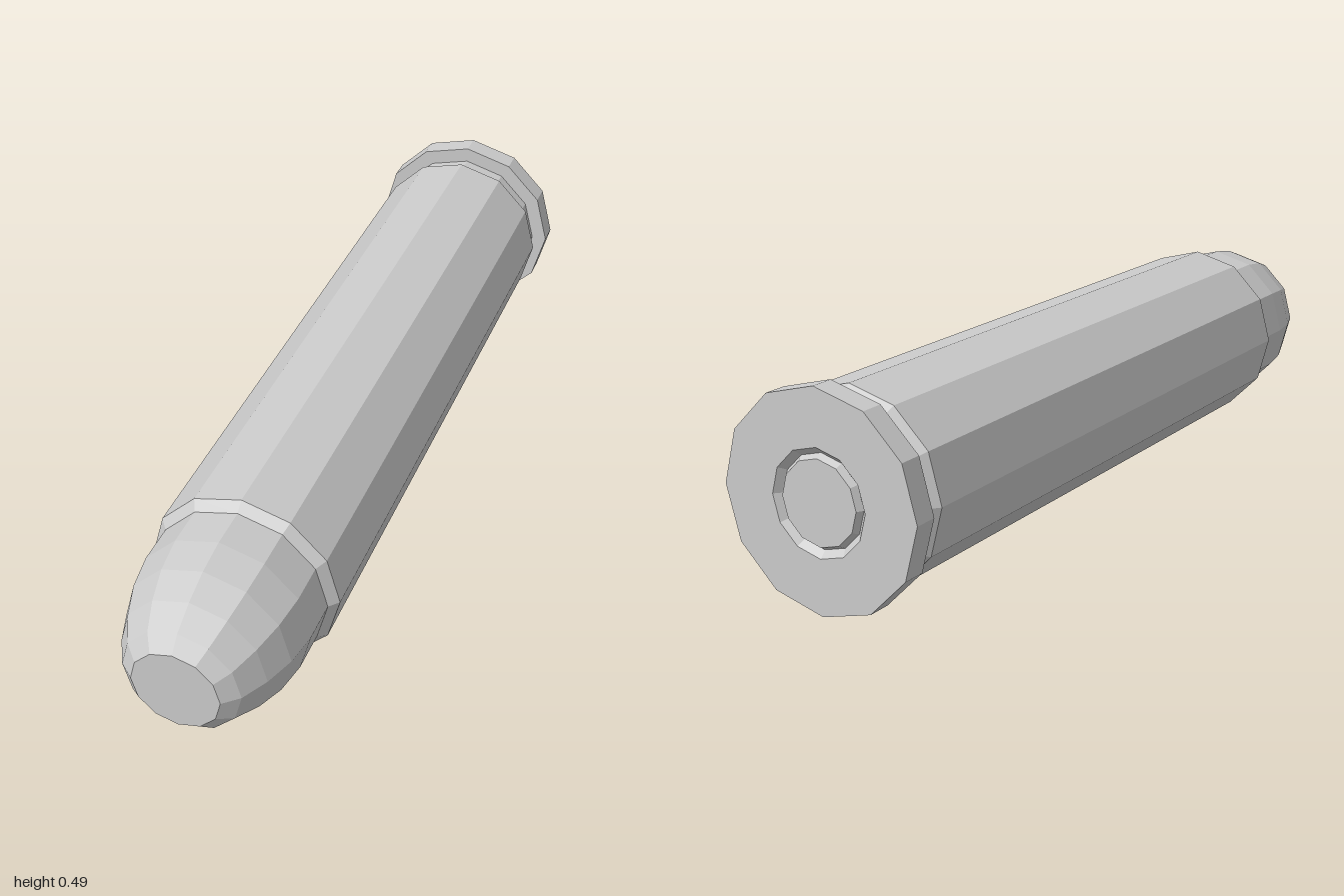
import * as THREE from 'three';

const SIDES = 12;
const AXIS_HEIGHT = 0.245;

// Profiles are [radius, z] pairs running from the back to the front
function turnedPart(name, profile) {
  const points = profile.map(([r, z]) => new THREE.Vector2(r, z));
  const geometry = new THREE.LatheGeometry(points, SIDES);
  geometry.rotateX(Math.PI / 2);
  const material = new THREE.MeshStandardMaterial({ color: 0xcccccc, flatShading: true });
  const mesh = new THREE.Mesh(geometry, material);
  mesh.name = name;
  mesh.position.y = AXIS_HEIGHT;
  return mesh;
}

export function createModel() {
  const group = new THREE.Group();
  group.name = 'cartridge';

  // Flat disc in the base with a sloped edge
  group.add(turnedPart('primer', [
    [0, -0.998], [0.094, -0.998], [0.103, -0.984],
  ]));

  // Base ring, rim, extraction groove, straight body and bevelled mouth
  group.add(turnedPart('case', [
    [0.103, -0.984], [0.118, -1], [0.244, -1], [0.244, -0.945],
    [0.205, -0.945], [0.205, -0.91], [0.223, -0.89],
    [0.223, 0.642], [0.203, 0.664],
  ]));

  // Rounded nose with a flat tip
  group.add(turnedPart('bullet', [
    [0.203, 0.664], [0.203, 0.76], [0.191, 0.84], [0.167, 0.91],
    [0.135, 0.97], [0.101, 1], [0, 1],
  ]));

  return group;
}
